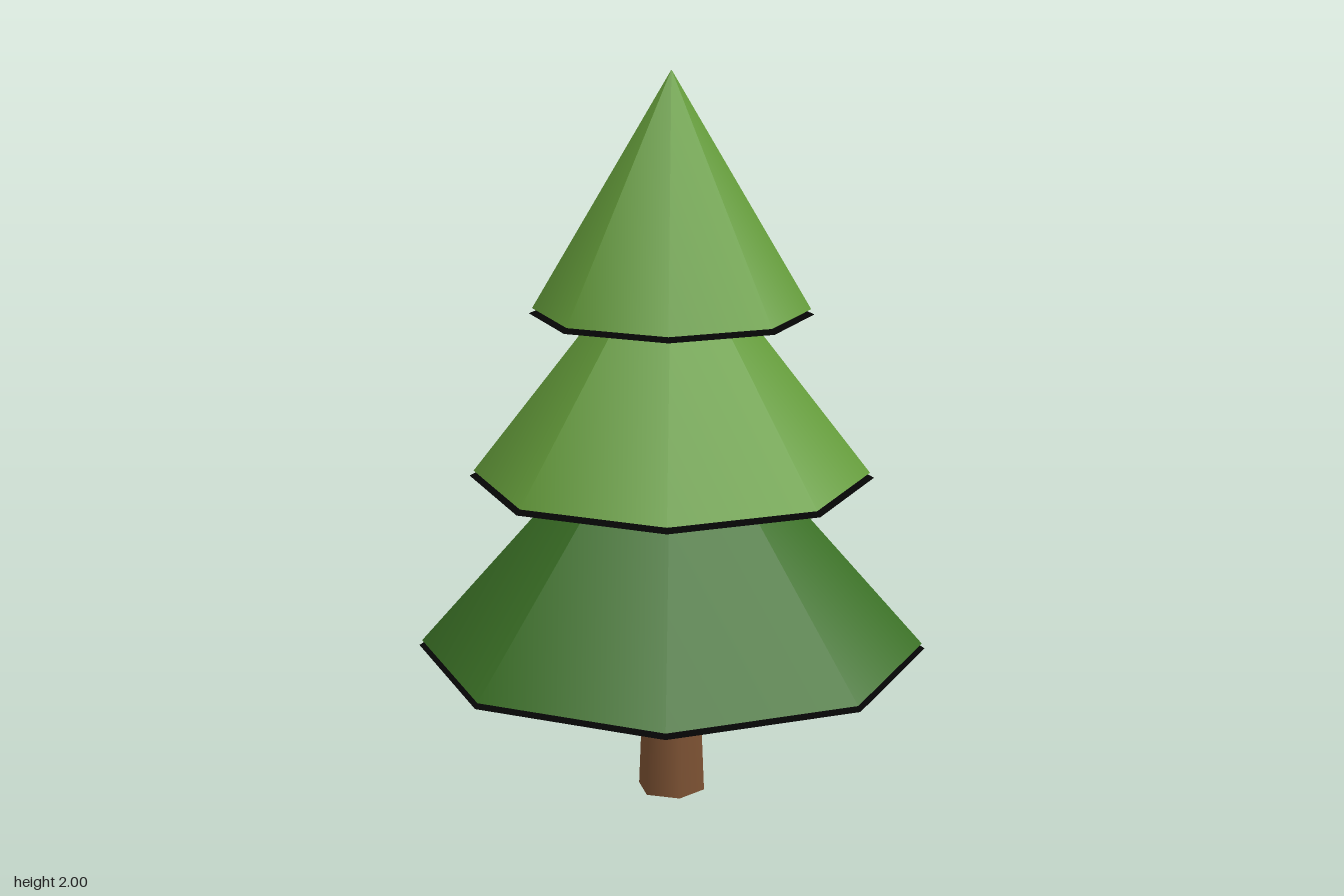
import * as THREE from 'three';

const material = (name, color, side = THREE.FrontSide) => {
  const m = new THREE.MeshStandardMaterial({ color, side });
  m.name = name;
  return m;
};

export function createModel() {
  const tree = new THREE.Group();
  tree.name = 'pineTree';

  const lightGreen = material('lightGreen', 0x659d3b);
  const darkGreen = material('darkGreen', 0x3b7126);
  const brown = material('barkBrown', 0x7d5233);
  const black = material('undersideBlack', 0x050505, THREE.DoubleSide);

  // Six-sided tapered trunk with corners on the x axis
  const trunkHeight = 0.48;
  const trunk = new THREE.Mesh(
    new THREE.CylinderGeometry(0.075, 0.095, trunkHeight, 6).rotateY(Math.PI / 2), brown);
  trunk.name = 'trunk';
  trunk.position.y = trunkHeight / 2;
  tree.add(trunk);

  // Eight-sided foliage cones, each with a slightly wider flat disc just below
  const tiers = [
    { name: 'lowerFoliage', radius: 0.692, rim: 0.7, base: 0.427, tip: 1.217, mat: darkGreen },
    { name: 'middleFoliage', radius: 0.539, rim: 0.55, base: 0.915, tip: 1.612, mat: lightGreen },
    { name: 'upperFoliage', radius: 0.373, rim: 0.382, base: 1.366, tip: 2, mat: lightGreen },
  ];
  for (const { name, radius, rim, base, tip, mat } of tiers) {
    const tier = new THREE.Group();
    tier.name = name;

    const cone = new THREE.Mesh(new THREE.ConeGeometry(radius, tip - base, 8), mat);
    cone.name = name + 'Cone';
    cone.position.y = (base + tip) / 2;

    const disc = new THREE.Mesh(new THREE.CircleGeometry(rim, 8).rotateX(Math.PI / 2), black);
    disc.name = name + 'Underside';
    disc.position.y = base - 0.014;

    tier.add(cone, disc);
    tree.add(tier);
  }
  return tree;
}
